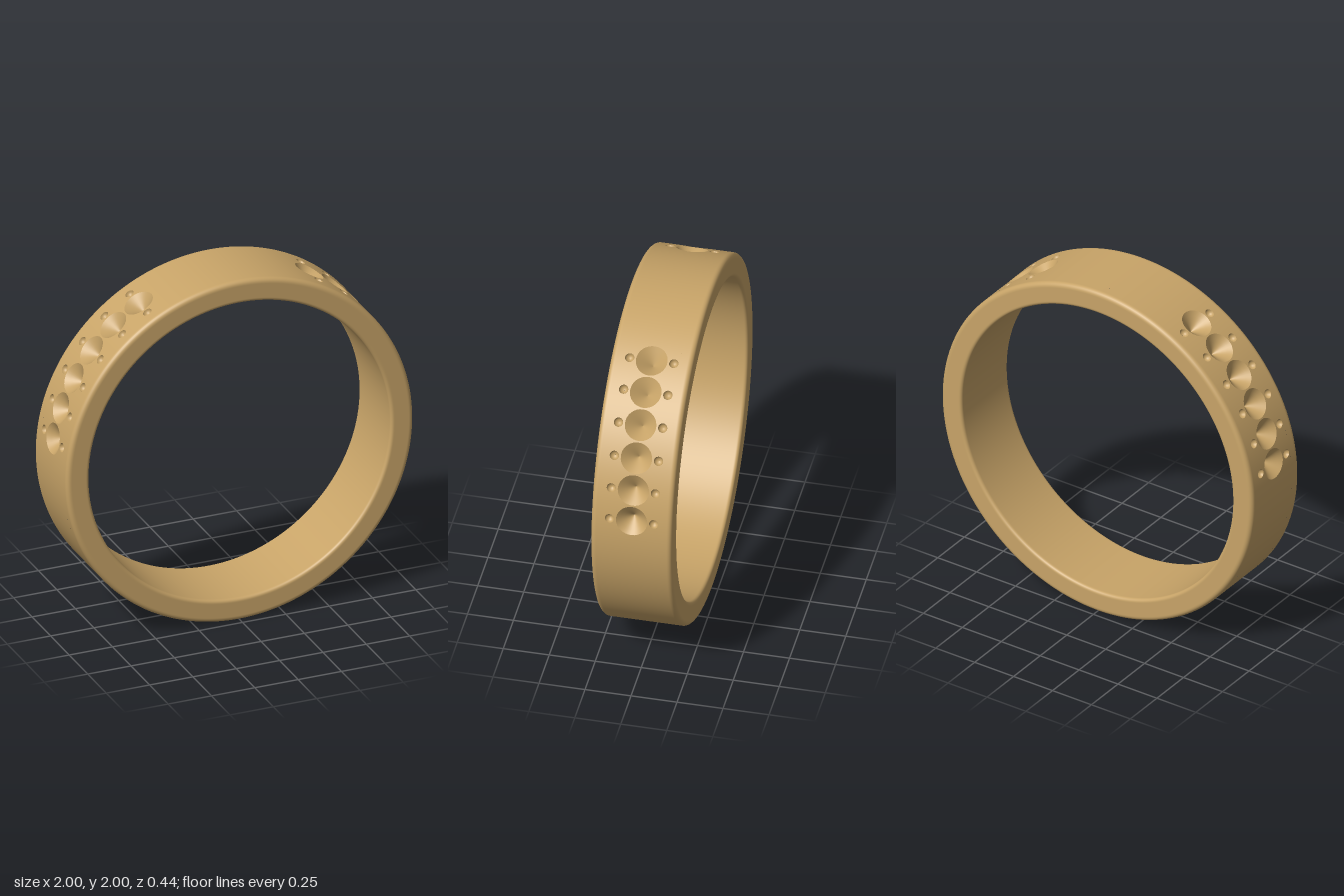
import * as THREE from 'three';
import { mergeGeometries } from 'three/addons/utils/BufferGeometryUtils.js';

const RAD = Math.PI / 180;
const STEP = 10.2, FIRST = 9.4, COUNT = 6; // stone spacing, in degrees
const HALF = STEP / 2 * RAD;               // half width of one stone cell
const STRIP = 0.15;                        // half width of the drilled strip
const SIDE = 8, N = SIDE * 4;              // points per cell side, per ring

// Skin a stack of closed rings of [angle, z, depth] points around the unit cylinder
function skinRings(rings, radialNormals) {
  const pos = [], nor = [], index = [];
  for (const ring of rings) {
    for (const [s, z, depth] of ring) {
      const r = 1 - depth;
      pos.push(r * Math.cos(s), r * Math.sin(s), z);
      nor.push(Math.cos(s), Math.sin(s), 0);
    }
  }
  for (let i = 0; i < rings.length - 1; i++) {
    for (let k = 0; k < N; k++) {
      const a = i * N + k, b = i * N + (k + 1) % N;
      index.push(a, b, b + N, a, b + N, a + N);
    }
  }
  const g = new THREE.BufferGeometry();
  g.setAttribute('position', new THREE.Float32BufferAttribute(pos, 3));
  g.setAttribute('normal', new THREE.Float32BufferAttribute(nor, 3));
  g.setIndex(index);
  if (!radialNormals) g.computeVertexNormals();
  return g;
}

function circle(cz, r, depth) {
  return Array.from({ length: N }, (_, k) => {
    const t = (k / N) * 2 * Math.PI - 0.75 * Math.PI;
    return [r * Math.cos(t), cz + r * Math.sin(t), depth];
  });
}

// Rectangular patch of the band with one round pit sunk into it
function drilledPatch(z0, z1, cz, r, pitProfile) {
  const corners = [[-HALF, z0], [HALF, z0], [HALF, z1], [-HALF, z1]];
  const border = Array.from({ length: N }, (_, k) => {
    const c = Math.floor(k / SIDE), t = (k % SIDE) / SIDE;
    const p = corners[c], q = corners[(c + 1) % 4];
    return [p[0] + (q[0] - p[0]) * t, p[1] + (q[1] - p[1]) * t, 0];
  });
  const rim = circle(cz, r, 0);
  const face = [0, 0.33, 0.67, 1].map(t =>
    border.map((p, k) => [p[0] + (rim[k][0] - p[0]) * t, p[1] + (rim[k][1] - p[1]) * t, 0]));
  const pit = pitProfile.map(([f, depth]) => circle(cz, r * f, depth));
  return [skinRings(face, true), skinRings(pit, false)];
}

// Conical stone seat flanked by two small round bead pits
function stoneCell() {
  const cone = [0, 0.25, 0.5, 0.75, 0.999].map(t => [1 - t, 0.08 * t]);
  const bowl = [0, 0.25, 0.5, 0.75, 0.99].map(t =>
    [Math.cos(t * Math.PI / 2), 0.024 * Math.sin(t * Math.PI / 2)]);
  return mergeGeometries([
    ...drilledPatch(-HALF, HALF, 0, 0.085, cone),
    ...drilledPatch(HALF, STRIP, 0.12, 0.025, bowl),
    ...drilledPatch(-STRIP, -HALF, -0.12, 0.025, bowl),
  ]);
}

// Band profile: rounded rim on each side, running from strip edge to strip edge
function bandProfile() {
  const pts = [];
  const fillet = (cx, cy, r, from) => {
    for (let i = 0; i <= 6; i++) {
      const t = (from + i * 15) * RAD;
      pts.push(new THREE.Vector2(cx + r * Math.cos(t), cy + r * Math.sin(t)));
    }
  };
  const flat = (x, y) => pts.push(new THREE.Vector2(x, y));
  const W = 0.22, IN = 0.87, R = 0.025, r = 0.018;
  flat(1, STRIP); flat(1, W - R - 0.004);
  fillet(1 - R, W - R, R, 0);
  flat(1 - R - 0.004, W); flat(IN + r + 0.004, W);
  fillet(IN + r, W - r, r, 90);
  flat(IN, W - r - 0.004); flat(IN, -W + r + 0.004);
  fillet(IN + r, -W + r, r, 180);
  flat(IN + r + 0.004, -W); flat(1 - R - 0.004, -W);
  fillet(1 - R, -W + R, R, 270);
  flat(1, -W + R + 0.004); flat(1, -STRIP);
  return pts;
}

export function createModel() {
  const ring = new THREE.Group();
  ring.name = 'ring';
  ring.position.y = 1;
  const gold = new THREE.MeshStandardMaterial({ color: 0xc8a468 });

  const add = (name, geometry) => {
    const mesh = new THREE.Mesh(geometry, gold);
    mesh.name = name;
    ring.add(mesh);
    return mesh;
  };

  add('band', new THREE.LatheGeometry(bandProfile(), 288).rotateX(Math.PI / 2));

  // Plain stretches of the outer face between the two stone rows
  const plain = (name, from, to) => add(name, new THREE.LatheGeometry(
    [new THREE.Vector2(1, -STRIP), new THREE.Vector2(1, STRIP)],
    Math.round((to - from) / 1.25), (from + 90) * RAD, (to - from) * RAD).rotateX(Math.PI / 2));
  const start = FIRST - STEP / 2, end = start + COUNT * STEP;
  plain('topFace', end, 180 - end);
  plain('bottomFace', 180 - start, 360 + start);

  // Stone seats, mirrored left and right
  const cell = stoneCell();
  for (let i = 0; i < COUNT; i++) {
    const angle = FIRST + i * STEP;
    add('leftStoneSeat' + (i + 1), cell).rotation.z = angle * RAD;
    add('rightStoneSeat' + (i + 1), cell).rotation.z = (180 - angle) * RAD;
  }

  const model = new THREE.Group();
  model.name = 'stoneSetRing';
  model.add(ring);
  return model;
}
